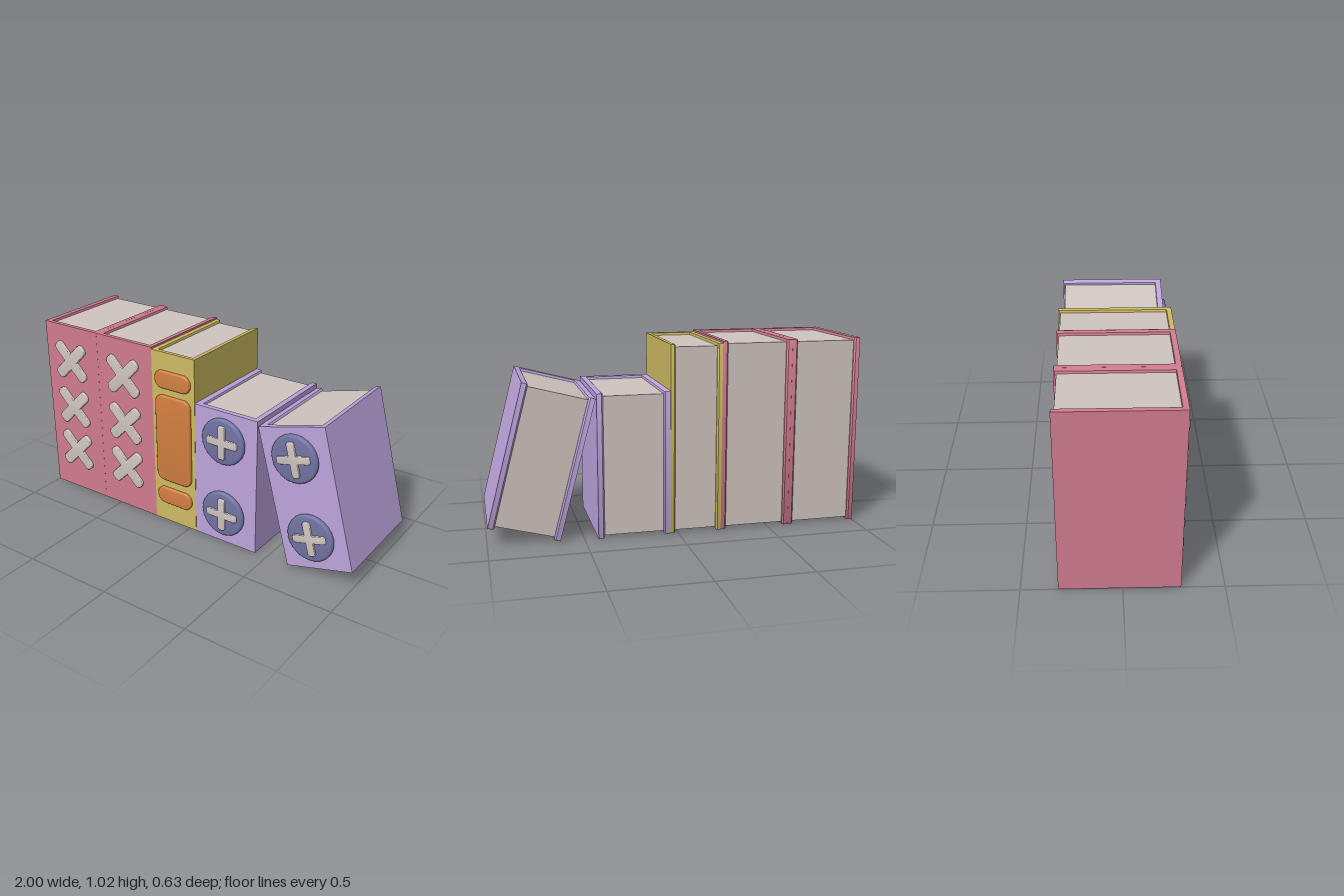
import * as THREE from 'three';
import { toCreasedNormals } from 'three/addons/utils/BufferGeometryUtils.js';

const FRONT = 0.285, BACK = -0.315;
const mat = (name, color) => Object.assign(new THREE.MeshStandardMaterial({ color }), { name });

function mesh(name, geometry, material) {
  const m = new THREE.Mesh(geometry, material);
  m.name = name;
  return m;
}

// U-shaped cover: spine in front, boards left and right, softened inner rims
function coverGeometry(w, h, t) {
  const a = w / 2, b = 0.006, c = 0.008;
  const pts = [
    [-a, -FRONT], [a, -FRONT], [a, -BACK], [a - t + c, -BACK], [a - t, -BACK - c],
    [a - t, -FRONT + t], [-a + t, -FRONT + t], [-a + t, -BACK - c], [-a + t - c, -BACK], [-a, -BACK],
  ].map(([x, y]) => new THREE.Vector2(x, y));
  const g = new THREE.ExtrudeGeometry(new THREE.Shape(pts), {
    depth: h - 2 * b, bevelThickness: b, bevelSize: b, bevelOffset: -b, bevelSegments: 2,
  });
  g.translate(0, 0, b - h / 2);
  g.rotateX(-Math.PI / 2);
  // keep the outer faces flat by moving the outer rim back out
  const p = g.attributes.position;
  for (let i = 0; i < p.count; i++) {
    if (Math.abs(p.getX(i)) > a - b - 0.001) p.setX(i, Math.sign(p.getX(i)) * a);
    if (p.getZ(i) > FRONT - b - 0.001) p.setZ(i, FRONT);
  }
  return toCreasedNormals(g, 0.5);
}

// Raised ornament with a rounded front edge, from z0 to z1
function raised(shape, z0, z1, b) {
  const g = new THREE.ExtrudeGeometry(shape, {
    depth: z1 - z0 - b, bevelThickness: b, bevelSize: b, bevelOffset: -b, bevelSegments: 3, curveSegments: 12,
  });
  g.translate(0, 0, z0);
  return toCreasedNormals(g, 0.6);
}

function roundedRect(w, h, r) {
  const x = w / 2, y = h / 2, s = new THREE.Shape();
  s.absarc(x - r, y - r, r, 0, Math.PI / 2);
  s.absarc(-x + r, y - r, r, Math.PI / 2, Math.PI);
  s.absarc(-x + r, -y + r, r, Math.PI, Math.PI * 1.5);
  s.absarc(x - r, -y + r, r, Math.PI * 1.5, Math.PI * 2);
  return s;
}

// Cross outline with four round-cornered arms
function crossShape(len, width, r) {
  const s = new THREE.Shape(), L = len / 2, k = width / 2;
  for (let i = 0; i < 4; i++) {
    const a = i * Math.PI / 2, c = Math.cos(a), n = Math.sin(a);
    s.absarc(c * (L - r) + n * (k - r), n * (L - r) - c * (k - r), r, a - Math.PI / 2, a);
    s.absarc(c * (L - r) - n * (k - r), n * (L - r) + c * (k - r), r, a, a + Math.PI / 2);
    s.lineTo(c * k - n * k, n * k + c * k);
  }
  return s;
}

export function createModel() {
  const red = mat('rose cover', 0xd17c90), yellow = mat('mustard cover', 0xcdbb62);
  const purple = mat('lilac cover', 0xbda4dc), orange = mat('orange label', 0xd27f40);
  const blue = mat('slate blue disc', 0x7073a2), paper = mat('paper', 0xd0c5bf);
  const model = new THREE.Group();
  model.name = 'books';

  // A book is centred on its own height so that it can lean
  function book(name, x, y, w, h, t, cover) {
    const g = new THREE.Group();
    g.name = name;
    g.position.set(x, y, 0);
    g.add(mesh('cover', coverGeometry(w, h, t), cover));
    const z0 = BACK + 0.015, z1 = FRONT - t + 0.003;
    const pages = mesh('pages', new THREE.BoxGeometry(w - 2 * t + 0.004, h - 0.03, z1 - z0), paper);
    pages.position.z = (z0 + z1) / 2;
    g.add(pages);
    model.add(g);
    return g;
  }
  function ornament(parent, name, geometry, material, x, y, turn = 0) {
    const m = mesh(name, geometry, material);
    m.position.set(x, y, 0);
    m.rotation.z = turn;
    parent.add(m);
  }

  // Two tall rose books with three diagonal crosses each
  const bigCross = raised(crossShape(0.275, 0.066, 0.026), FRONT - 0.005, 0.299, 0.006);
  [[-0.8085, -0.009], [-0.426, -0.009]].forEach(([x, dx], i) => {
    const b = book('roseBook' + (i + 1), x, 0.51, 0.382, 1.02, 0.03, red);
    for (const y of [0.302, 0.02, -0.255]) ornament(b, 'cross', bigCross, paper, dx, y, Math.PI / 4);
  });

  // Mustard book with three orange labels
  const mustard = book('mustardBook', -0.096, 0.505, 0.278, 1.01, 0.027, yellow);
  for (const [y, h] of [[0.355, 0.1], [0.01, 0.51], [-0.34, 0.1]]) {
    ornament(mustard, 'label', raised(roundedRect(0.23, h, 0.047), FRONT - 0.005, 0.3, 0.009), orange, 0, y);
  }

  // Two short lilac books with discs and upright crosses, the last one leaning
  const discShape = new THREE.Shape().absarc(0, 0, 0.13, 0, Math.PI * 2);
  const disc = raised(discShape, FRONT - 0.005, 0.306, 0.012);
  const smallCross = raised(crossShape(0.19, 0.044, 0.014), 0.3, 0.316, 0.005);
  const upright = book('lilacBook', 0.2365, 0.385, 0.385, 0.77, 0.034, purple);
  const leaning = book('leaningBook', 0.7145, 0.423, 0.38, 0.768, 0.034, purple);
  leaning.rotation.z = 0.258;
  for (const b of [upright, leaning]) {
    for (const y of [0.22, -0.207]) {
      ornament(b, 'disc', disc, blue, -0.0085, y);
      ornament(b, 'discCross', smallCross, paper, -0.0085, y);
    }
  }
  return model;
}
